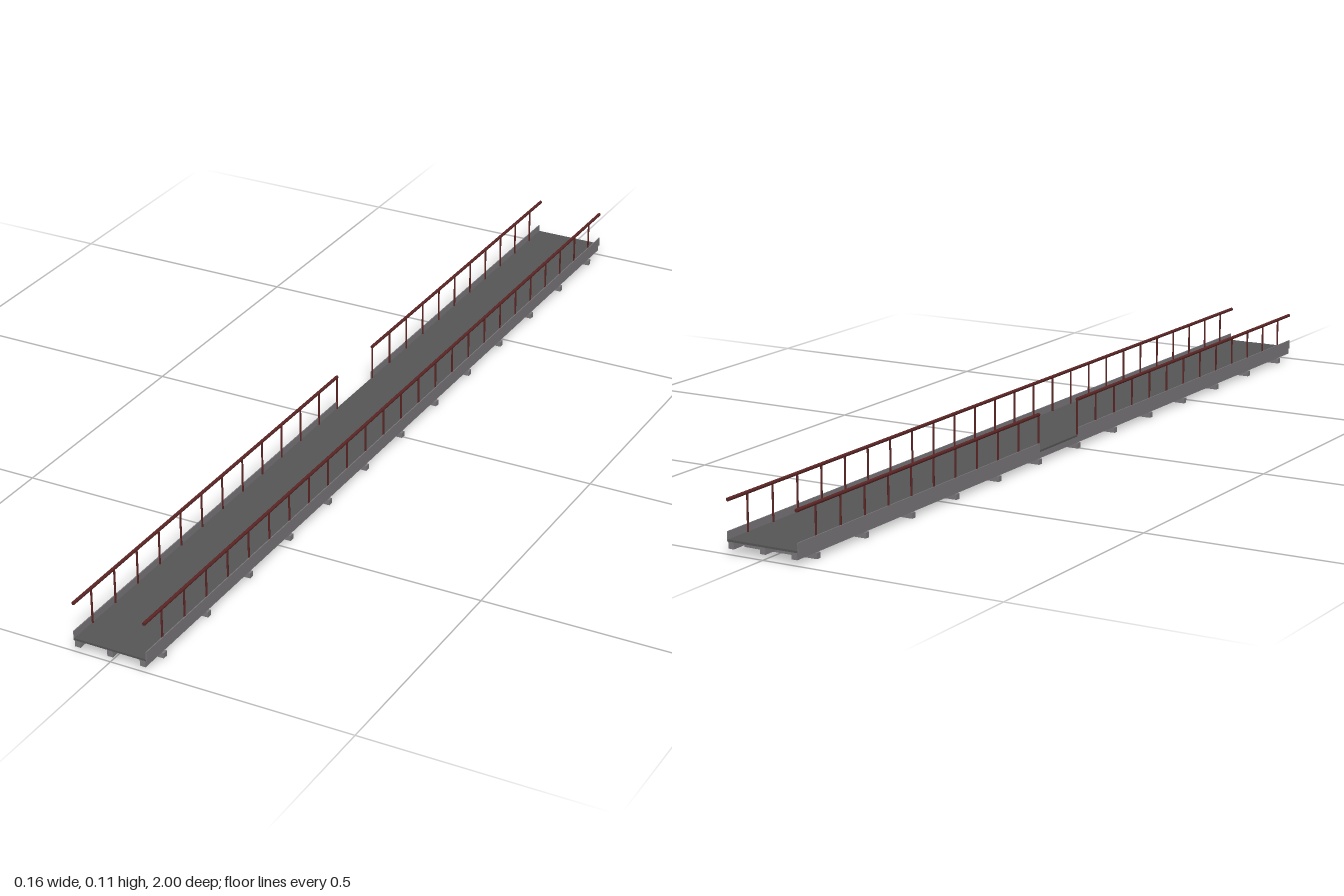
import * as THREE from 'three';

const steel = new THREE.MeshStandardMaterial({ color: 0x7a777a });
const deckGrey = new THREE.MeshStandardMaterial({ color: 0x555555 });
const railRed = new THREE.MeshStandardMaterial({ color: 0x5c2424 });

export function createModel() {
  const model = new THREE.Group();
  const pitch = 0.94 / 12; // distance between handrail posts

  function box(parent, name, material, size, position) {
    const mesh = new THREE.Mesh(new THREE.BoxGeometry(...size), material);
    mesh.name = name;
    mesh.position.set(...position);
    parent.add(mesh);
  }

  // Walkway deck on three long stringers
  box(model, 'deck', deckGrey, [0.152, 0.004, 2], [0, 0.026, 0]);
  for (const x of [-0.069, 0, 0.069]) {
    box(model, 'stringer', steel, [0.012, 0.013, 2], [x, 0.0175, 0]);
  }

  // Cross beams under the stringers
  for (let i = -6; i <= 6; i++) {
    box(model, 'crossBeam', steel, [0.159, 0.011, 0.011], [0, 0.0055, i * pitch * 2]);
  }

  // One run of handrail with toe board and posts, from z0 to z1
  function railing(name, side, z0, z1) {
    const group = new THREE.Group();
    group.name = name;
    const length = z1 - z0;
    const mid = (z0 + z1) / 2;
    const x = side * 0.0745;

    box(group, 'toeBoard', steel, [0.002, 0.019, length], [side * 0.0765, 0.0335, mid]);

    const rail = new THREE.Mesh(new THREE.CylinderGeometry(0.0035, 0.0035, length, 12), railRed);
    rail.name = 'handrail';
    rail.rotation.x = Math.PI / 2;
    rail.position.set(x, 0.102, mid);
    group.add(rail);

    for (let i = -12; i <= 12; i++) {
      const z = i * pitch;
      if (z < z0 - 0.001 || z > z1 + 0.001) continue;
      const post = new THREE.Mesh(new THREE.CylinderGeometry(0.002, 0.002, 0.074, 8), railRed);
      post.name = 'post';
      post.position.set(x, 0.065, z);
      group.add(post);
    }
    model.add(group);
  }

  // Unbroken railing on the left, an access gap on the right
  railing('leftRailing', 1, -1, 1);
  railing('rightFrontRailing', -1, 0, 1);
  railing('rightBackRailing', -1, -1, -2 * pitch + 0.002);

  return model;
}
